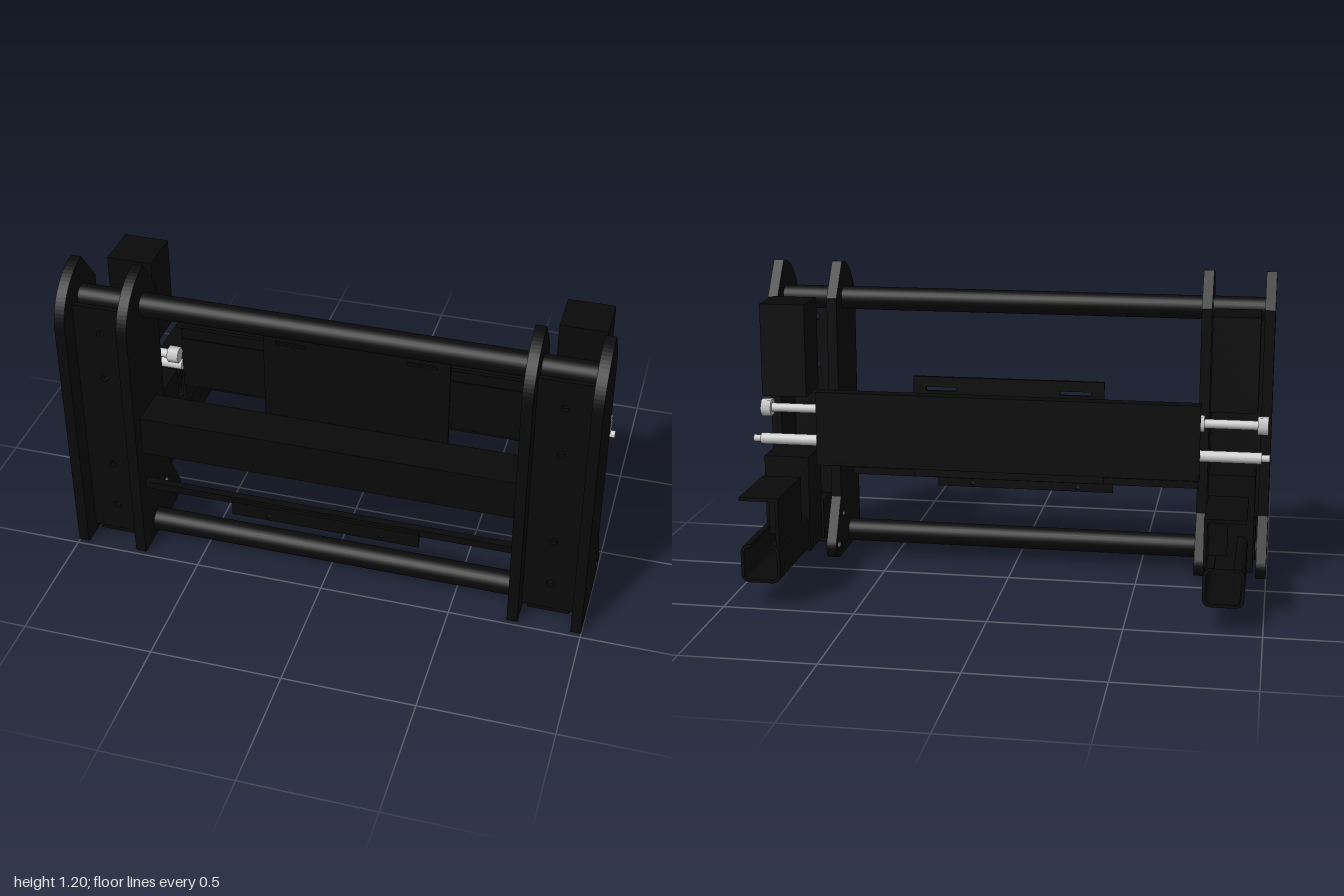
import * as THREE from 'three';

const black = new THREE.MeshStandardMaterial({ color: 0x0a0a0a, side: THREE.DoubleSide });
const grey = new THREE.MeshStandardMaterial({ color: 0xcccccc });

function add(parent, name, geometry, material = black) {
  const mesh = new THREE.Mesh(geometry, material);
  mesh.name = name;
  parent.add(mesh);
  return mesh;
}

// Box given by its limits on each axis
function box(parent, name, x0, x1, y0, y1, z0, z1) {
  const mesh = add(parent, name, new THREE.BoxGeometry(x1 - x0, y1 - y0, z1 - z0));
  mesh.position.set((x0 + x1) / 2, (y0 + y1) / 2, (z0 + z1) / 2);
  return mesh;
}

// Cylinder lying along x
function rod(parent, name, x0, x1, y, z, r, material = black, sides = 28) {
  const geometry = new THREE.CylinderGeometry(r, r, x1 - x0, sides);
  geometry.rotateZ(Math.PI / 2);
  const mesh = add(parent, name, geometry, material);
  mesh.position.set((x0 + x1) / 2, y, z);
  return mesh;
}

function hole(shape, x, y, r) {
  shape.holes.push(new THREE.Path().absarc(x, y, r, 0, Math.PI * 2, true));
}

function rectHole(shape, x0, x1, y0, y1) {
  shape.holes.push(new THREE.Path([
    [x0, y0], [x0, y1], [x1, y1], [x1, y0],
  ].map(p => new THREE.Vector2(...p))));
}

function rect(x0, x1, y0, y1) {
  return new THREE.Shape([[x0, y0], [x1, y0], [x1, y1], [x0, y1]].map(p => new THREE.Vector2(...p)));
}

function extrude(shape, depth) {
  return new THREE.ExtrudeGeometry(shape, { depth, bevelEnabled: false, curveSegments: 20 });
}

// Tall side plate, drawn as z across and y up
function sidePlateGeometry() {
  const s = new THREE.Shape();
  s.moveTo(0.475, 0);
  s.quadraticCurveTo(0.485, 0, 0.485, 0.01);
  s.lineTo(0.485, 1.0);
  s.bezierCurveTo(0.48, 1.1, 0.39, 1.19, 0.285, 1.195);
  s.lineTo(0.185, 1.06);
  s.lineTo(0.185, 0.245);
  s.lineTo(0.1, 0.085);
  s.bezierCurveTo(0.075, 0.045, 0.1, 0.005, 0.143, 0.003);
  s.lineTo(0.143, 0);
  s.closePath();
  hole(s, 0.143, 0.06, 0.023);
  hole(s, 0.225, 0.168, 0.017);
  const g = extrude(s, 0.04);
  g.rotateY(-Math.PI / 2);
  return g;
}

// Rolled foot channel with inward lips, open at the top
function footGeometry() {
  const w = 0.075, h = 0.147, r = 0.035, t = 0.012, lip = 0.035;
  const s = new THREE.Shape();
  s.moveTo(-lip, h);
  s.lineTo(-w + r, h);
  s.quadraticCurveTo(-w, h, -w, h - r);
  s.lineTo(-w, r);
  s.quadraticCurveTo(-w, 0, -w + r, 0);
  s.lineTo(w - r, 0);
  s.quadraticCurveTo(w, 0, w, r);
  s.lineTo(w, h - r);
  s.quadraticCurveTo(w, h, w - r, h);
  s.lineTo(lip, h);
  s.lineTo(lip, h - t);
  s.lineTo(w - r, h - t);
  s.quadraticCurveTo(w - t, h - t, w - t, h - r);
  s.lineTo(w - t, r);
  s.quadraticCurveTo(w - t, t, w - r, t);
  s.lineTo(-w + r, t);
  s.quadraticCurveTo(-w + t, t, -w + t, r);
  s.lineTo(-w + t, h - r);
  s.quadraticCurveTo(-w + t, h - t, -w + r, h - t);
  s.lineTo(-lip, h - t);
  s.closePath();
  return extrude(s, 0.67);
}

// One end assembly, built on the +x side
function buildEnd(side) {
  const end = new THREE.Group();
  end.name = side > 0 ? 'leftEnd' : 'rightEnd';

  for (const [name, x] of [['outerSidePlate', 1], ['innerSidePlate', 0.76]]) {
    add(end, name, sidePlateGeometry()).position.x = x;
  }

  // Front web between the plates, with a row of bolt holes
  const web = rect(0.76, 0.96, 0.03, 1.06);
  for (const y of [0.15, 0.35, 0.75, 0.95]) hole(web, 0.86, y, 0.014);
  add(end, 'frontWeb', extrude(web, 0.02)).position.z = 0.385;
  box(end, 'baseStrip', 0.78, 0.94, 0.012, 0.03, 0.3, 0.4);

  // Foot, socket and split post
  add(end, 'footChannel', footGeometry()).position.set(0.855, 0.097, -0.485);
  box(end, 'socket', 0.765, 0.955, 0.1, 0.258, 0.08, 0.2);
  box(end, 'lowerPost', 0.775, 0.95, 0.1, 0.48, -0.09, 0.09);
  box(end, 'upperPost', 0.775, 0.95, 0.72, 1.08, -0.09, 0.09);

  // Angle bracket standing on the foot
  box(end, 'bracketTop', 0.78, 0.93, 0.412, 0.425, -0.485, -0.18);
  box(end, 'bracketWall', 0.78, 0.793, 0.244, 0.412, -0.485, -0.18);
  box(end, 'bracketGusset', 0.793, 0.86, 0.244, 0.412, -0.34, -0.33);

  // Adjusting bolt and guide pin
  rod(end, 'boltShaft', 0.74, 0.97, 0.645, 0.037, 0.018, grey, 20);
  rod(end, 'boltHead', 0.95, 0.99, 0.645, 0.037, 0.037, grey, 6);
  rod(end, 'boltNut', 0.705, 0.75, 0.645, 0.037, 0.033, grey, 6);
  rod(end, 'guidePin', 0.73, 0.97, 0.54, -0.05, 0.022, grey);
  rod(end, 'guidePinTip', 0.97, 1.0, 0.54, -0.05, 0.014, grey);

  end.scale.x = side;
  return end;
}

export function createModel() {
  const model = new THREE.Group();
  model.name = 'machineFrame';
  model.add(buildEnd(1), buildEnd(-1));

  // Round cross tubes
  rod(model, 'topTube', -0.97, 0.97, 1.045, 0.31, 0.046);
  rod(model, 'bottomTube', -0.97, 0.97, 0.06, 0.34, 0.046);

  // Front box beam
  box(model, 'frontBeam', -0.74, 0.74, 0.45, 0.61, 0.265, 0.43);

  // Rear channel, open to the front
  box(model, 'rearChannelWeb', -0.74, 0.74, 0.45, 0.74, -0.086, -0.078);
  box(model, 'rearChannelTop', -0.74, 0.74, 0.725, 0.74, -0.086, -0.03);
  box(model, 'rearChannelBottom', -0.74, 0.74, 0.45, 0.465, -0.086, -0.03);

  // Thin sheet with a thicker middle plate
  box(model, 'thinSheet', -0.71, 0.71, 0.48, 0.7, -0.006, 0);
  const plate = rect(-0.37, 0.37, 0.4, 0.8);
  rectHole(plate, 0.2, 0.32, 0.745, 0.76);
  rectHole(plate, -0.32, -0.2, 0.745, 0.76);
  add(model, 'middlePlate', extrude(plate, 0.014)).position.z = -0.007;

  // Lower bar with hanging plate
  box(model, 'lowerBar', -0.74, 0.74, 0.283, 0.312, 0.4, 0.43);
  const hanger = rect(-0.365, 0.365, 0.24, 0.3);
  hole(hanger, 0.22, 0.257, 0.009);
  hole(hanger, -0.22, 0.257, 0.009);
  add(model, 'hangingPlate', extrude(hanger, 0.012)).position.z = 0.43;

  return model;
}
